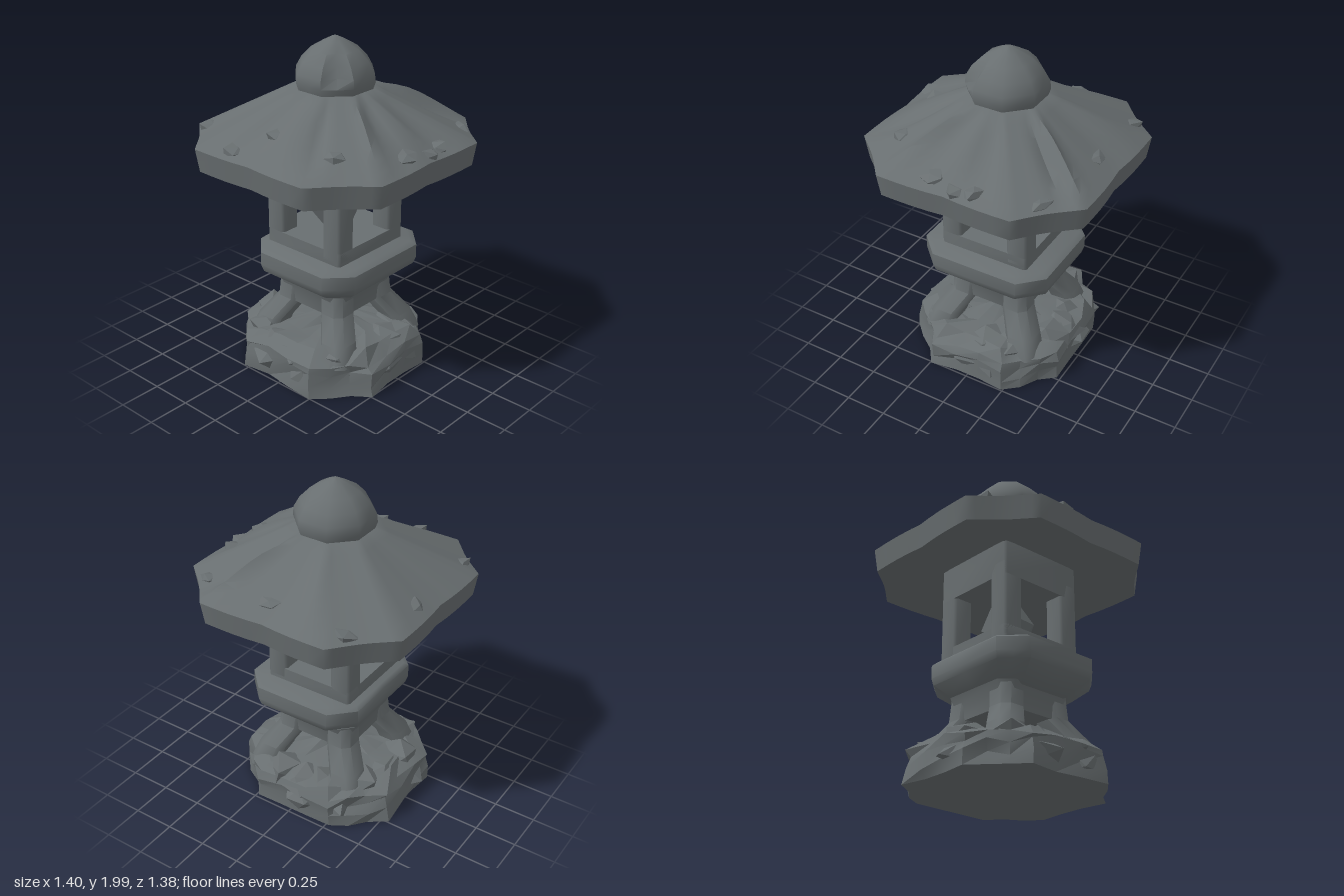
import * as THREE from 'three';
import { toCreasedNormals } from 'three/addons/utils/BufferGeometryUtils.js';

const stone = new THREE.MeshStandardMaterial({ color: 0x686e70 });
stone.name = 'weatheredStone';

// Small seeded random generator, returns -1..1
function seeded(seed) {
  let s = seed;
  return () => {
    s = (s * 16807) % 2147483647;
    return (s / 2147483647) * 2 - 1;
  };
}

// Points of a rectangle with cut corners, each side divided into n steps
function cutRectangle({ x = 0, y, z = 0, hx, hz = hx, c }, n) {
  const k = [
    [hx, -hz + c], [hx, hz - c], [hx - c, hz], [-hx + c, hz],
    [-hx, hz - c], [-hx, -hz + c], [-hx + c, -hz], [hx - c, -hz],
  ];
  const points = [];
  k.forEach((a, i) => {
    const b = k[(i + 1) % 8];
    for (let j = 0; j < n; j++) {
      const t = j / n;
      points.push(new THREE.Vector3(x + a[0] + (b[0] - a[0]) * t, y, z + a[1] + (b[1] - a[1]) * t));
    }
  });
  return points;
}

// Closed skin through rings listed along the outside from bottom to top
function loft(rings, { n = 1, move = null, crease = 0.6 } = {}) {
  const count = 8 * n;
  const pos = [];
  const index = [];
  const add = (p) => pos.push(p.x, p.y, p.z);
  rings.forEach((r, i) => cutRectangle(r, n).forEach((p) => {
    if (move) move(p, i);
    add(p);
  }));
  const first = rings[0];
  const last = rings[rings.length - 1];
  const low = rings.length * count;
  add({ x: first.x || 0, y: first.y, z: first.z || 0 });
  add({ x: last.x || 0, y: last.y, z: last.z || 0 });
  for (let j = 0; j < count; j++) {
    const k = (j + 1) % count;
    for (let i = 0; i < rings.length - 1; i++) {
      const a = i * count + j, b = i * count + k;
      index.push(a, a + count, b, b, a + count, b + count);
    }
    const top = (rings.length - 1) * count;
    index.push(low, j, k, low + 1, top + k, top + j);
  }
  const g = new THREE.BufferGeometry();
  g.setAttribute('position', new THREE.Float32BufferAttribute(pos, 3));
  g.setIndex(index);
  return toCreasedNormals(g, crease);
}

// Irregular angular stone
function rock(radius, seed, rough) {
  const g = new THREE.IcosahedronGeometry(radius, 0);
  const p = g.attributes.position;
  const moved = new Map();
  const rnd = seeded(seed);
  for (let i = 0; i < p.count; i++) {
    const key = [p.getX(i), p.getY(i), p.getZ(i)].map((v) => Math.round(v * 1000)).join();
    if (!moved.has(key)) moved.set(key, 1 + rough * rnd());
    const f = moved.get(key);
    p.setXYZ(i, p.getX(i) * f, p.getY(i) * f, p.getZ(i) * f);
  }
  g.computeVertexNormals();
  return g;
}

export function createModel() {
  const model = new THREE.Group();
  const part = (name, geometry, x = 0, y = 0, z = 0) => {
    const m = new THREE.Mesh(geometry, stone);
    m.name = name;
    m.position.set(x, y, z);
    model.add(m);
    return m;
  };

  // Rough rock base
  const rnd = seeded(77);
  part('rockBase', loft([
    { y: 0.01, z: -0.02, hx: 0.485, hz: 0.51, c: 0.25 },
    { y: 0.08, z: -0.02, hx: 0.485, hz: 0.505, c: 0.25 },
    { y: 0.15, z: -0.02, hx: 0.48, hz: 0.5, c: 0.25 },
    { y: 0.2, z: -0.02, hx: 0.475, hz: 0.49, c: 0.24 },
    { y: 0.25, z: -0.01, hx: 0.4, hz: 0.42, c: 0.21 },
    { y: 0.26, hx: 0.27, c: 0.14 },
    { y: 0.275, hx: 0.12, c: 0.06 },
  ], {
    n: 3,
    crease: 0.4,
    move: (p, i) => {
      const f = 1 + 0.04 * rnd();
      p.x *= f;
      p.z *= f;
      if (i > 0) p.y += 0.026 * rnd();
    },
  }));

  // Stones set around the rim and the wall of the base
  const ringOfStones = (name, total, radius, y, size, seed) => {
    for (let i = 0; i < total; i++) {
      const a = (i / total) * Math.PI * 2 + 0.12 * rnd();
      const m = part(name, rock(size, seed + i * 97, 0.25),
        Math.cos(a) * radius, y + 0.02 * rnd(), Math.sin(a) * radius - 0.02);
      m.scale.set(1.15, 0.75, 1.15);
      m.rotation.set(0.3 * rnd(), i * 1.7, 0.3 * rnd());
    }
  };
  ringOfStones('rimStone', 13, 0.37, 0.2, 0.115, 31);
  ringOfStones('wallStone', 11, 0.42, 0.11, 0.105, 53);

  // Four splayed legs
  for (const x of [-1, 1]) for (const z of [-1, 1]) {
    const at = (d, y, hx) => ({ x: x * d, y, z: z * d, hx, c: 0.04 });
    part('leg', loft([
      at(0.285, 0.18, 0.095), at(0.25, 0.29, 0.09), at(0.17, 0.42, 0.085), at(0.16, 0.56, 0.085),
    ], { crease: 0.85 }));
  }
  part('legBlock', loft([
    { y: 0.41, hx: 0.235, c: 0.06 },
    { y: 0.49, hx: 0.24, c: 0.06 },
    { y: 0.56, hx: 0.265, c: 0.07 },
  ], { crease: 0.85 }));

  // Platform with rounded underside, set slightly forward
  part('platform', loft([
    { y: 0.53, z: 0.015, hx: 0.24, hz: 0.23, c: 0.08 },
    { y: 0.57, z: 0.02, hx: 0.3, hz: 0.28, c: 0.1 },
    { y: 0.64, z: 0.025, hx: 0.395, hz: 0.355, c: 0.13 },
    { y: 0.68, z: 0.025, hx: 0.405, hz: 0.367, c: 0.13 },
    { y: 0.76, z: 0.025, hx: 0.405, hz: 0.367, c: 0.13 },
    { y: 0.78, z: 0.02, hx: 0.37, hz: 0.34, c: 0.115 },
  ], { n: 2, crease: 0.85 }));

  // Open lamp chamber: sill, corner posts and lintel
  const slab = (name, y0, y1, hx) => part(name, loft([
    { y: y0, hx, c: 0.015 }, { y: y1, hx, c: 0.015 },
  ], { crease: 0.85 }));
  slab('sill', 0.77, 0.86, 0.28);
  slab('lintel', 1.17, 1.42, 0.28);
  for (const x of [-0.215, 0.215]) for (const z of [-0.215, 0.215]) {
    part('post', loft([
      { x, y: 0.8, z, hx: 0.065, c: 0.015 }, { x, y: 1.25, z, hx: 0.065, c: 0.015 },
    ], { crease: 0.85 }));
  }
  part('lampStone', rock(0.165, 12, 0.08), 0, 1.01, 0);

  // Roof: hollow underside, thick eave and straight slopes with worn folds
  const slope = [];
  for (let i = 0; i <= 8; i++) {
    const t = i / 8;
    slope.push({ y: 1.435 + 0.285 * t, hx: 0.7 - 0.49 * t, hz: 0.69 - 0.48 * t, c: 0.29 - 0.17 * t });
  }
  // Each fold: plan angle, width, height (negative for a groove)
  const folds = [
    [0.48, 0.05, 0.045], [0.64, 0.06, -0.035], [1.25, 0.07, -0.035], [1.55, 0.07, 0.035],
    [1.8, 0.06, -0.035], [2.05, 0.06, 0.03], [2.6, 0.09, -0.04], [2.95, 0.07, 0.03],
    [3.3, 0.07, -0.03], [-0.4, 0.07, 0.02], [-0.1, 0.08, -0.015],
  ];
  part('roof', loft([
    { y: 1.38, hx: 0.25, c: 0.05 },
    { y: 1.36, hx: 0.45, c: 0.15 },
    { y: 1.31, hx: 0.63, hz: 0.62, c: 0.26 },
    { y: 1.3, hx: 0.68, hz: 0.67, c: 0.28 },
    ...slope,
  ], {
    n: 8,
    crease: 0.9,
    move: (p, i) => {
      const a = Math.atan2(p.z, p.x);
      // Eave edges sag inward halfway along each side and at the cut corners
      if (i > 2) {
        const f = 1 - 0.022 * Math.pow(Math.abs(Math.cos(2 * a)), 24)
          - 0.02 * Math.pow(Math.abs(Math.sin(2 * a)), 12);
        p.x *= f;
        p.z *= f;
      }
      if (i > 4) {
        const fade = Math.sin(Math.PI * Math.min(1, (i - 4) / 8));
        for (const [angle, width, height] of folds) {
          const d = Math.atan2(Math.sin(a - angle), Math.cos(a - angle));
          p.y += fade * height * Math.exp(-((d / width) ** 2));
        }
      }
    },
  }));

  // Chipped flakes on the slopes near the eave: x, z
  const flakes = [
    [0.05, 0.62], [0.15, 0.6], [-0.1, 0.58], [-0.55, 0.12], [-0.42, 0.38], [-0.45, 0.0],
    [0.55, 0.03], [0.48, 0.5], [-0.42, -0.56], [0.14, -0.58], [0.55, -0.42], [-0.6, -0.17],
  ];
  flakes.forEach(([x, z], i) => {
    const r = Math.max(Math.abs(x), Math.abs(z), (Math.abs(x) + Math.abs(z)) / 1.58);
    const m = part('roofFlake', rock(0.07, 5 + i * 61, 0.3), x, 1.435 + (0.7 - r) * 0.58 - 0.03, z);
    m.scale.y = 0.5;
    m.rotation.y = i * 2.1;
  });

  // Rounded finial with a worn lip
  part('finial', loft([
    { y: 1.66, hx: 0.19, c: 0.11 },
    { y: 1.72, hx: 0.205, c: 0.12 },
    { y: 1.76, hx: 0.218, c: 0.128 },
    { y: 1.81, hx: 0.213, c: 0.125 },
    { y: 1.87, hx: 0.182, c: 0.107 },
    { y: 1.93, hx: 0.128, c: 0.075 },
    { y: 1.975, hx: 0.06, c: 0.035 },
    { y: 2.0, hx: 0.015, c: 0.009 },
  ], {
    n: 2,
    crease: 0.9,
    // A gouge on the front left side
    move: (p, i) => {
      const a = Math.atan2(p.z, p.x);
      if (i > 2 && i < 6 && Math.abs(a - 2.4) < 0.3) {
        p.x *= 0.82;
        p.z *= 0.82;
      }
    },
  }));

  return model;
}
